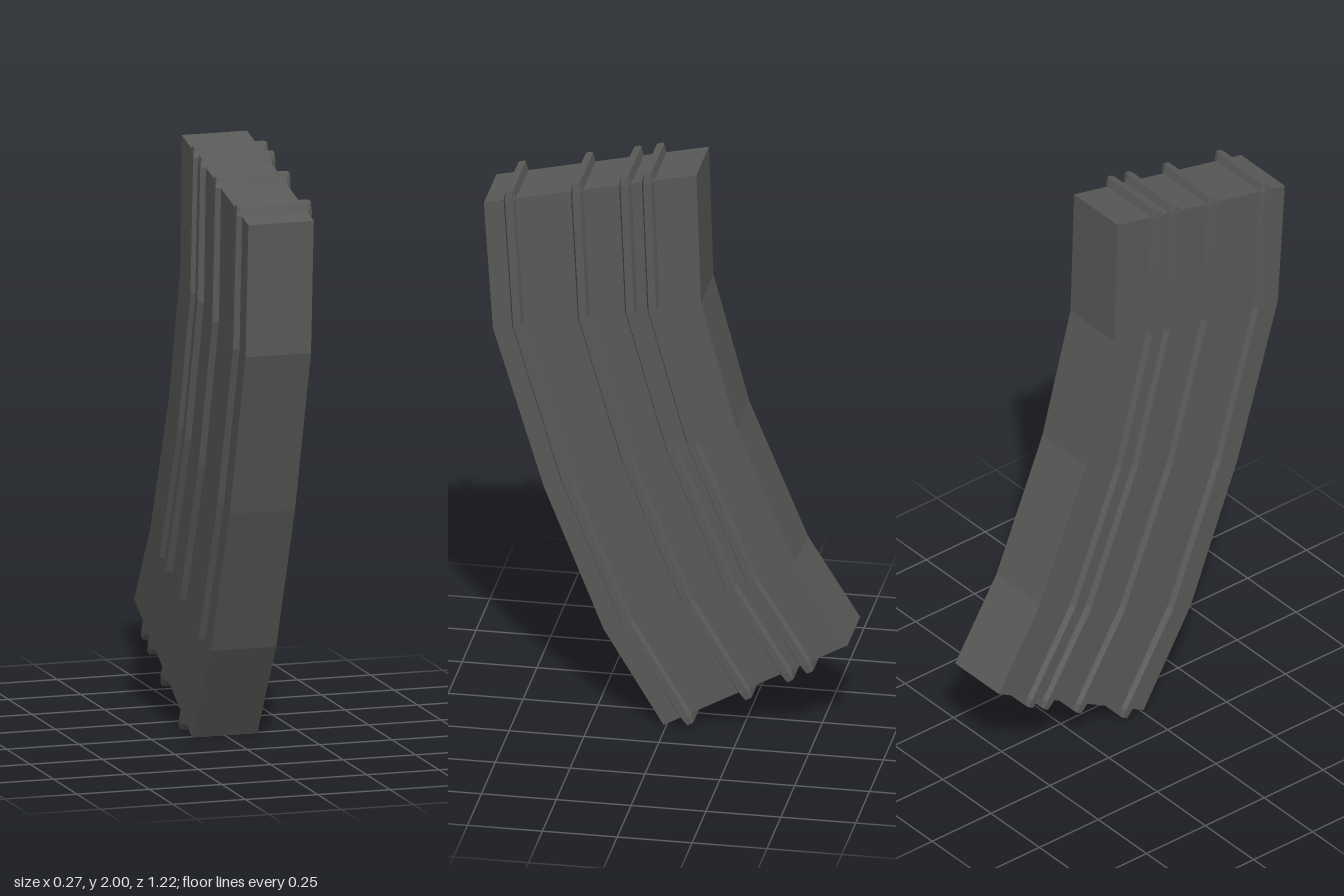
import * as THREE from 'three';

// Front and back edges of the curved body as [z, y], top to bottom
const FRONT = [[0.61, 1.84], [0.58, 1.39], [0.41, 0.83], [0.21, 0.33], [0.01, 0.0]];
const BACK = [[-0.10, 2.0], [-0.115, 1.54], [-0.235, 1.09], [-0.43, 0.62], [-0.605, 0.34]];
const HALF = 0.113;

const material = new THREE.MeshStandardMaterial({ color: 0x5a5a58, flatShading: true });

// Joins equal-length rings (ordered top to bottom) and caps both ends
function loft(rings, name) {
  const n = rings[0].length;
  const index = [];
  for (let r = 0; r < rings.length - 1; r++) {
    for (let i = 0; i < n; i++) {
      const j = (i + 1) % n;
      const a = r * n + i, b = r * n + j, c = a + n, d = b + n;
      index.push(c, d, b, c, b, a);
    }
  }
  const last = (rings.length - 1) * n;
  for (let i = 1; i < n - 1; i++) {
    index.push(0, i, i + 1, last, last + i + 1, last + i);
  }
  const indexed = new THREE.BufferGeometry();
  indexed.setFromPoints(rings.flat());
  indexed.setIndex(index);
  const geometry = indexed.toNonIndexed();
  geometry.computeVertexNormals();
  const mesh = new THREE.Mesh(geometry, material);
  mesh.name = name;
  return mesh;
}

const front = FRONT.map(([z, y]) => new THREE.Vector3(0, y, z));
const back = BACK.map(([z, y]) => new THREE.Vector3(0, y, z));

// Four-sided curved casing
function makeBody() {
  const rings = front.map((f, k) => {
    const b = back[k];
    return [
      new THREE.Vector3(HALF, f.y, f.z), new THREE.Vector3(HALF, b.y, b.z),
      new THREE.Vector3(-HALF, b.y, b.z), new THREE.Vector3(-HALF, f.y, f.z),
    ];
  });
  return loft(rings, 'body');
}

// Rib with bevelled sides, following the curve and poking out at both ends
function makeRib(fraction, name) {
  const path = front.map((f, k) => f.clone().lerp(back[k], fraction));
  const across = front.map((f, k) => back[k].clone().sub(f).normalize());
  const extend = (end, next) => end.clone().add(end.clone().sub(next).setLength(0.03));
  const top = extend(path[0], path[1]);
  const bottom = extend(path[4], path[3]);

  const section = (p, dir, base, crest, xOut) => [
    [-base, HALF], [-crest, xOut], [crest, xOut], [base, HALF],
    [base, -HALF], [crest, -xOut], [-crest, -xOut], [-base, -HALF],
  ].map(([a, x]) => p.clone().addScaledVector(dir, a).setX(x));

  const rings = path.map((p, k) =>
    section(p, across[k], 0.021, 0.013, k === 0 || k === 4 ? 0.13 : 0.133));
  rings.unshift(section(top, across[0], 0.013, 0.01, 0.127));
  rings.push(section(bottom, across[4], 0.013, 0.01, 0.127));
  return loft(rings, name);
}

export function createModel() {
  const model = new THREE.Group();
  model.name = 'curvedMagazine';
  model.add(makeBody());
  [0.122, 0.438, 0.665, 0.772].forEach((f, i) => model.add(makeRib(f, `rib${i + 1}`)));
  return model;
}
